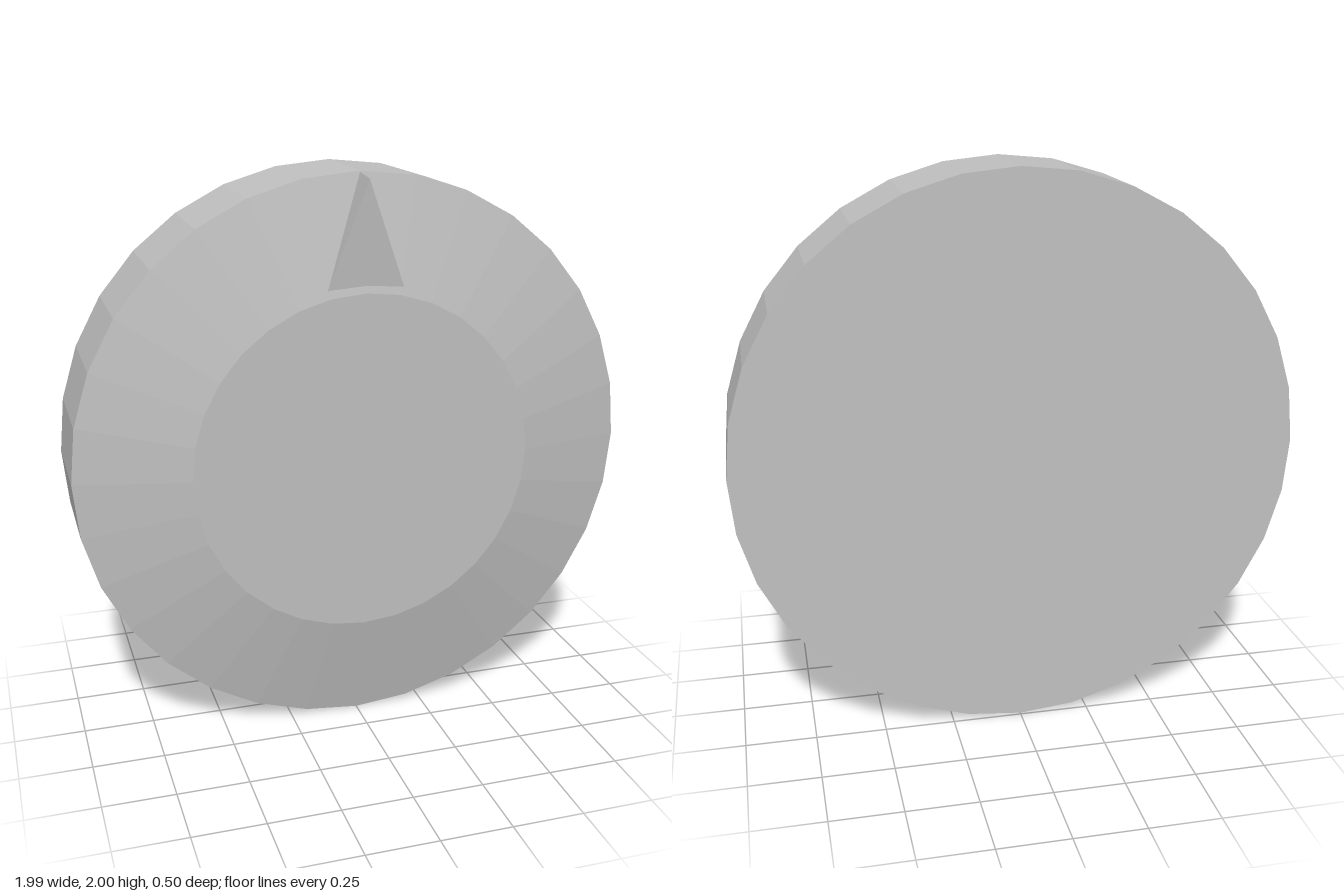
import * as THREE from 'three';

const TILT = 0.0135;
const RADIUS = 0.9965;

// Faceted normals for a low-poly look
function faceted(geometry) {
  const flat = geometry.index ? geometry.toNonIndexed() : geometry;
  flat.computeVertexNormals();
  return flat;
}

export function createModel() {
  const group = new THREE.Group();
  group.name = 'dial';
  const grey = new THREE.MeshStandardMaterial({ color: 0xc0c0c0 });
  grey.name = 'grey';

  // Disc with a bevelled front, turned around the z axis
  const profile = [
    [0, -0.236], [RADIUS, -0.236], [RADIUS, 0.1325], [0.605, 0.2175], [0, 0.2175],
  ].map(([r, h]) => new THREE.Vector2(r, h));
  const disc = new THREE.Mesh(
    faceted(new THREE.LatheGeometry(profile, 32).rotateX(Math.PI / 2)), grey);
  disc.name = 'disc';

  // Pointer: a four-sided wedge rising from the bevel to the rim
  const left = [0.135, 0.613, 0.211];
  const right = [-0.135, 0.613, 0.211];
  const tip = [0, 0.983, 0.237];
  const foot = [0, 0.993, 0.1325];
  const faces = [
    [right, left, tip], [left, foot, tip], [foot, right, tip], [left, right, foot],
  ];
  const wedge = new THREE.BufferGeometry();
  wedge.setAttribute('position', new THREE.Float32BufferAttribute(faces.flat(2), 3));
  const pointer = new THREE.Mesh(faceted(wedge), grey);
  pointer.name = 'pointer';

  // The dial leans very slightly forward
  const body = new THREE.Group();
  body.name = 'body';
  body.add(disc, pointer);
  body.rotation.x = TILT;
  body.position.y = 0.998;
  group.add(body);
  return group;
}
